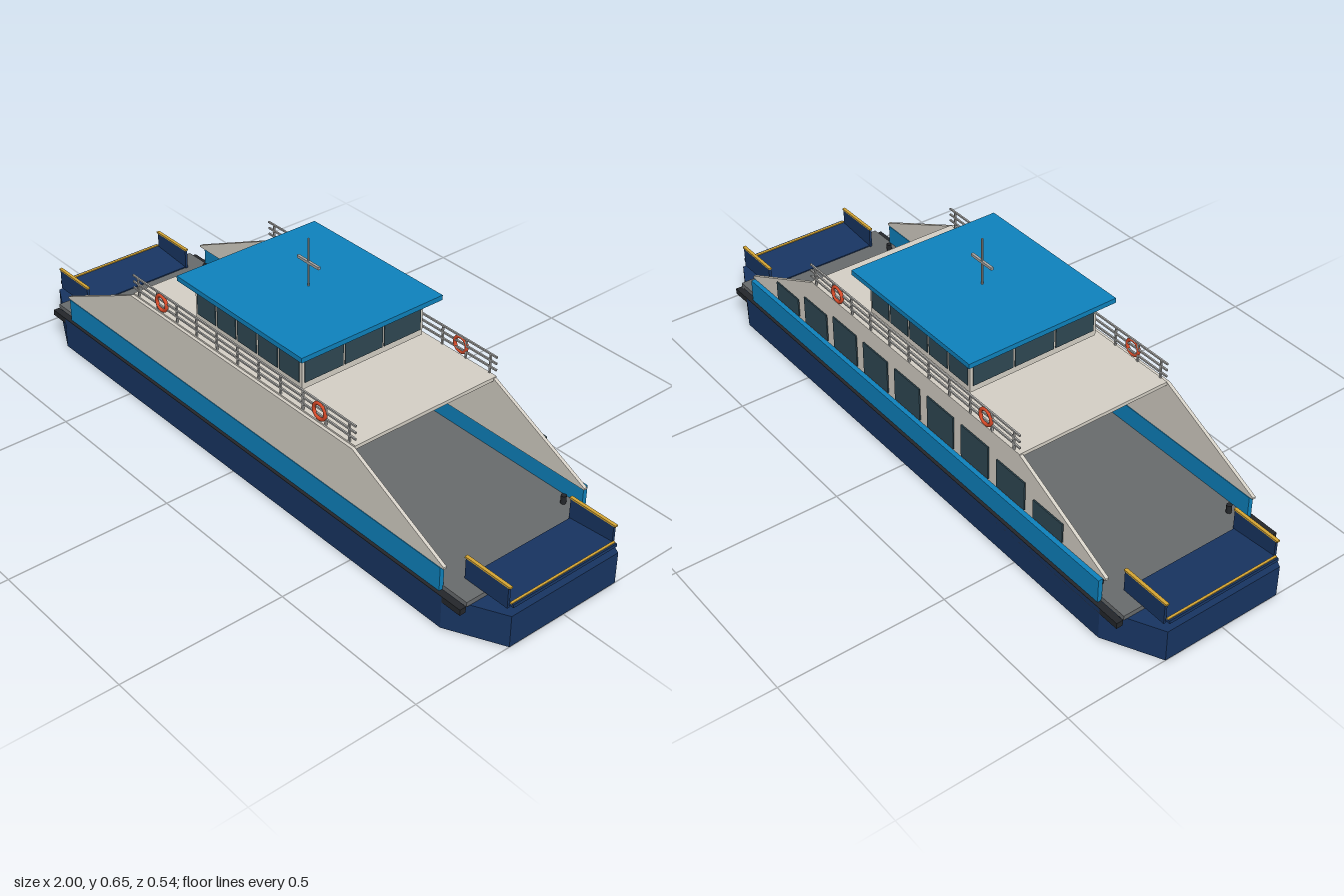
import * as THREE from 'three';

const paint = (color) => new THREE.MeshStandardMaterial({ color, flatShading: true });

export function createModel() {
  const ferry = new THREE.Group();
  ferry.name = 'ferry';
  const navy = paint(0x183562), blue = paint(0x0e82bd), cream = paint(0xd5d0c6), glass = paint(0x2f4853);
  const grey = paint(0x686b6d), black = paint(0x24272b), yellow = paint(0xd6a634), steel = paint(0xa9a9a7);
  const orange = new THREE.MeshStandardMaterial({ color: 0xd84a28 });

  const add = (name, geometry, material, x = 0, y = 0, z = 0, parent = ferry) => {
    const mesh = new THREE.Mesh(geometry, material);
    mesh.name = name;
    mesh.position.set(x, y, z);
    parent.add(mesh);
    return mesh;
  };
  // Box given by its limits on each axis
  const box = (name, material, x0, x1, y0, y1, z0, z1, parent) =>
    add(name, new THREE.BoxGeometry(x1 - x0, y1 - y0, z1 - z0), material,
      (x0 + x1) / 2, (y0 + y1) / 2, (z0 + z1) / 2, parent);
  const outline = (points) => new THREE.Shape(points.map(([x, y]) => new THREE.Vector2(x, y)));
  const extrude = (points, depth) =>
    new THREE.ExtrudeGeometry(outline(points), { depth, bevelEnabled: false });

  // Hull with chamfered corners, and the car deck on it
  const hull = extrude([[-1, -0.19], [-0.84, -0.272], [0.84, -0.272], [1, -0.19],
    [1, 0.19], [0.84, 0.272], [-0.84, 0.272], [-1, 0.19]], 0.098);
  hull.rotateX(-Math.PI / 2);
  add('hull', hull, navy);
  box('carDeck', grey, -0.905, 0.905, 0.098, 0.112, -0.25, 0.25);

  // Long sides: fender, bulwark, sloped side panel
  const panel = extrude([[-0.83, 0.172], [0.83, 0.172], [0.83, 0.178], [0.485, 0.342],
    [-0.485, 0.342], [-0.83, 0.178]], 0.01);
  for (const s of [-1, 1]) {
    const inner = Math.min(s * 0.252, s * 0.272), wall = s * 0.255;
    box('fender', black, -0.905, 0.905, 0.082, 0.1, inner, inner + 0.02);
    box('bulwark', blue, -0.82, 0.82, 0.1, 0.172, wall - 0.007, wall + 0.007);
    add('sidePanel', panel, cream, 0, 0, s > 0 ? 0.25 : -0.248);
  }

  // Saloon windows along one side, lower towards the ends
  for (let i = -4; i <= 4; i++) {
    const height = [0.106, 0.106, 0.106, 0.09, 0.06][Math.abs(i)];
    const x = i * 0.153;
    box('sideWindow', glass, x - 0.059, x + 0.059, 0.187, 0.187 + height, -0.258, -0.254);
  }

  // Loading ramps and bollards at both ends
  for (const s of [-1, 1]) {
    const end = new THREE.Group();
    end.name = s > 0 ? 'leftRamp' : 'rightRamp';
    end.rotation.y = s > 0 ? 0 : Math.PI;
    ferry.add(end);
    const plate = add('rampPlate', new THREE.BoxGeometry(0.16, 0.009, 0.368), navy, 0.918, 0.118, 0, end);
    plate.rotation.z = 0.085;
    box('rampEdge', yellow, 0.985, 0.992, 0.127, 0.131, -0.184, 0.184, end);
    for (const z of [-0.186, 0.186]) {
      box('rampWall', navy, 0.835, 0.983, 0.112, 0.175, z - 0.004, z + 0.004, end);
      box('rampRail', yellow, 0.832, 0.988, 0.175, 0.18, z - 0.005, z + 0.005, end);
    }
    for (const z of [-0.219, 0.219]) {
      add('bollard', new THREE.CylinderGeometry(0.008, 0.008, 0.025, 12), black, 0.78, 0.1245, z, end);
    }
  }

  // Upper deck with railings and lifebuoys
  box('upperDeck', cream, -0.485, 0.485, 0.335, 0.346, -0.249, 0.249);
  const ring = new THREE.TorusGeometry(0.023, 0.0055, 10, 28);
  for (const z of [-0.247, 0.247]) {
    for (const y of [0.365, 0.385, 0.405]) {
      box('rail', steel, -0.485, 0.485, y - 0.0025, y + 0.0025, z - 0.0025, z + 0.0025);
    }
    for (let i = -5; i <= 5; i++) {
      const x = i * 0.092;
      box('railPost', steel, x - 0.0025, x + 0.0025, 0.345, 0.405, z - 0.0025, z + 0.0025);
    }
    for (const x of [-0.345, 0.345]) add('lifebuoy', ring, orange, x, 0.378, z * 1.008);
  }

  // Wheelhouse with windows on all four sides
  box('wheelhouse', cream, -0.23, 0.23, 0.368, 0.485, -0.213, 0.213);
  for (const s of [-1, 1]) {
    for (let i = -2; i <= 2; i++) {
      add('wheelhouseWindow', new THREE.BoxGeometry(0.082, 0.097, 0.005), glass, i * 0.09, 0.436, s * 0.213);
    }
    for (let i = -1; i <= 1; i++) {
      add('wheelhouseWindow', new THREE.BoxGeometry(0.005, 0.097, 0.132), glass, s * 0.23, 0.436, i * 0.138);
    }
  }
  box('wheelhouseRoof', blue, -0.27, 0.27, 0.484, 0.499, -0.246, 0.246);

  // Mast with crossbar
  add('mast', new THREE.CylinderGeometry(0.003, 0.003, 0.147, 8), steel, 0, 0.572, 0);
  box('mastCrossbar', steel, -0.045, 0.045, 0.568, 0.576, -0.004, 0.004);

  return ferry;
}
